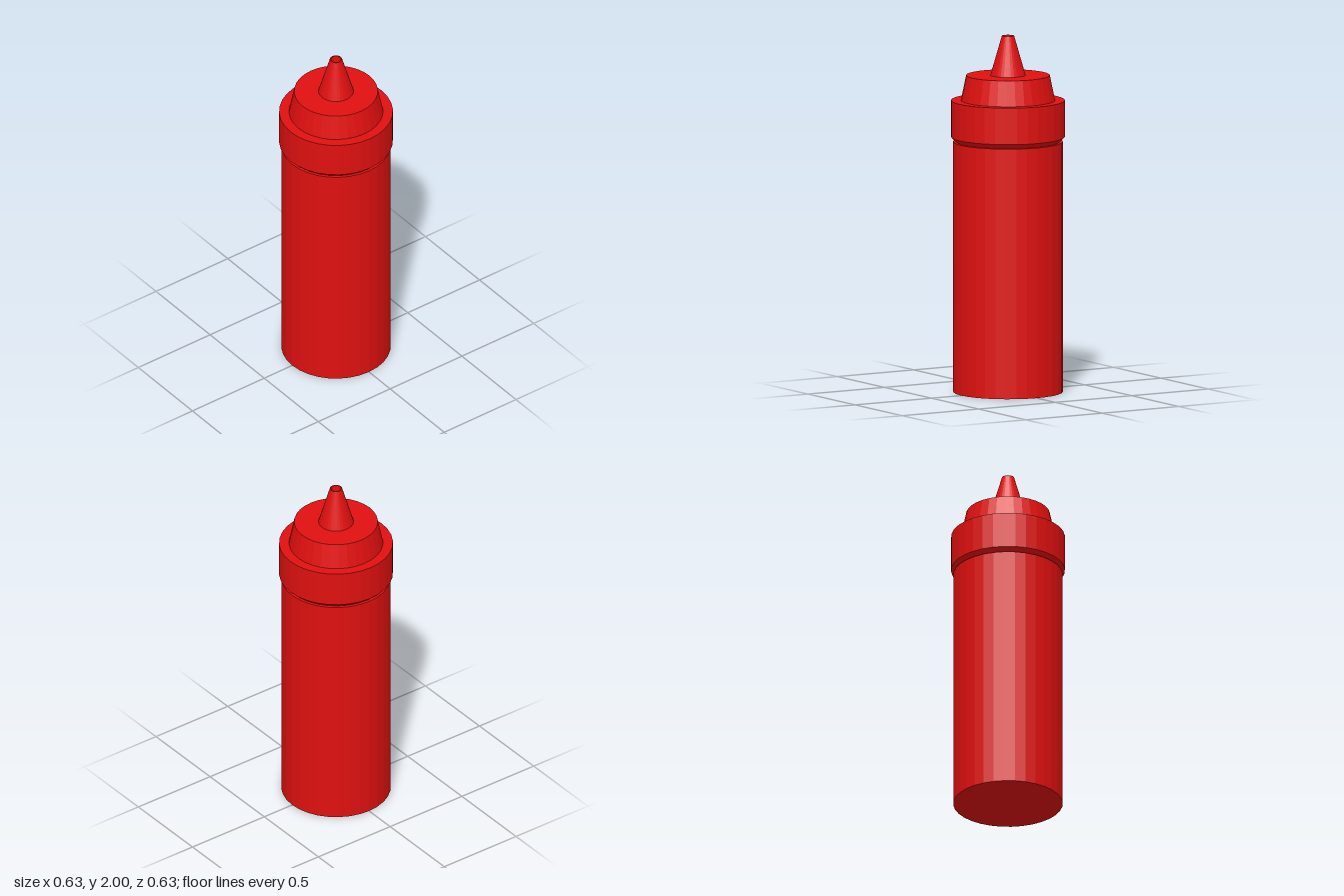
import * as THREE from 'three';

const SIDES = 32;
const material = new THREE.MeshStandardMaterial({ color: 0xe01010, flatShading: true });

// Faceted turned part; the profile of [radius, y] runs from the bottom up.
function turned(name, profile) {
  const points = profile.map(([r, y]) => new THREE.Vector2(r, y));
  const geometry = new THREE.LatheGeometry(points, SIDES).toNonIndexed();
  geometry.computeVertexNormals();
  const mesh = new THREE.Mesh(geometry, material);
  mesh.name = name;
  return mesh;
}

export function createModel() {
  const group = new THREE.Group();
  group.name = 'squeezeBottle';

  // Straight bottle with a flat base and a closed shoulder
  group.add(turned('bottleBody', [[0, 0], [0.305, 0], [0.305, 1.405], [0, 1.405]]));

  // Screw collar with a bevelled lower edge
  group.add(turned('capCollar', [
    [0.288, 1.405], [0.295, 1.41], [0.317, 1.432], [0.317, 1.637], [0.262, 1.637],
  ]));

  // Tapered dome of the cap
  group.add(turned('capDome', [[0.262, 1.637], [0.233, 1.778], [0.098, 1.778]]));

  // Conical nozzle with a small recessed opening
  group.add(turned('nozzle', [
    [0.098, 1.778], [0.034, 2], [0.028, 2], [0.028, 1.96], [0, 1.96],
  ]));

  return group;
}
